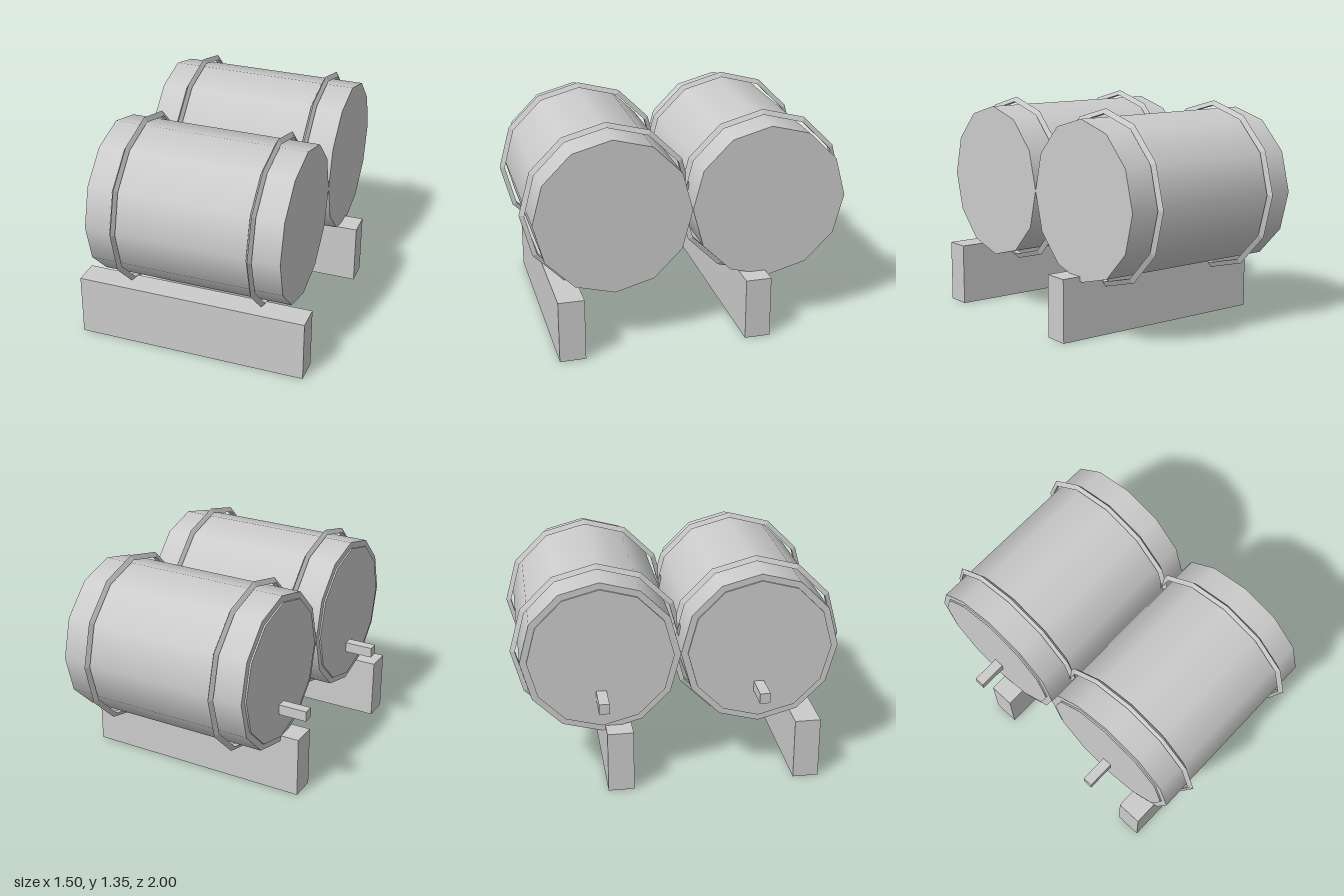
import * as THREE from 'three';

export function createModel() {
  const model = new THREE.Group();
  model.name = 'barrelsOnBeams';
  const grey = new THREE.MeshStandardMaterial({ color: 0xcccccc });
  grey.name = 'grey';

  const add = (parent, name, geometry, x, y, z) => {
    const mesh = new THREE.Mesh(geometry, grey);
    mesh.name = name;
    mesh.position.set(x, y, z);
    parent.add(mesh);
  };

  // Twelve-sided drum lying along x, with a corner at the top
  const drum = (radius, length) =>
    new THREE.CylinderGeometry(radius, radius, length, 12).rotateZ(Math.PI / 2);

  // Hoop with a triangular section, its ridge facing outwards
  const hoop = new THREE.TorusGeometry(0.505, 0.02, 3, 12)
    .rotateY(Math.PI / 2).toNonIndexed();
  hoop.computeVertexNormals();

  const body = drum(0.475, 1.19);
  const lid = drum(0.435, 0.02);
  const tap = new THREE.BoxGeometry(0.19, 0.064, 0.062);

  // Two barrels side by side
  for (const z of [0.475, -0.475]) {
    const barrel = new THREE.Group();
    barrel.name = z > 0 ? 'frontBarrel' : 'backBarrel';
    barrel.position.set(0, 0.825, z);
    add(barrel, 'barrelBody', body, 0.032, 0, 0);
    add(barrel, 'barrelLid', lid, -0.563, 0, 0);
    add(barrel, 'tap', tap, -0.655, -0.237, -0.003);
    for (const x of [-0.38, 0.45]) add(barrel, 'hoop', hoop, x, 0, 0);
    model.add(barrel);
  }

  // Supporting beams
  const beam = new THREE.BoxGeometry(1.425, 0.382, 0.157);
  add(model, 'frontBeam', beam, 0.033, 0.191, 0.76);
  add(model, 'backBeam', beam, 0.033, 0.191, -0.379);

  return model;
}
